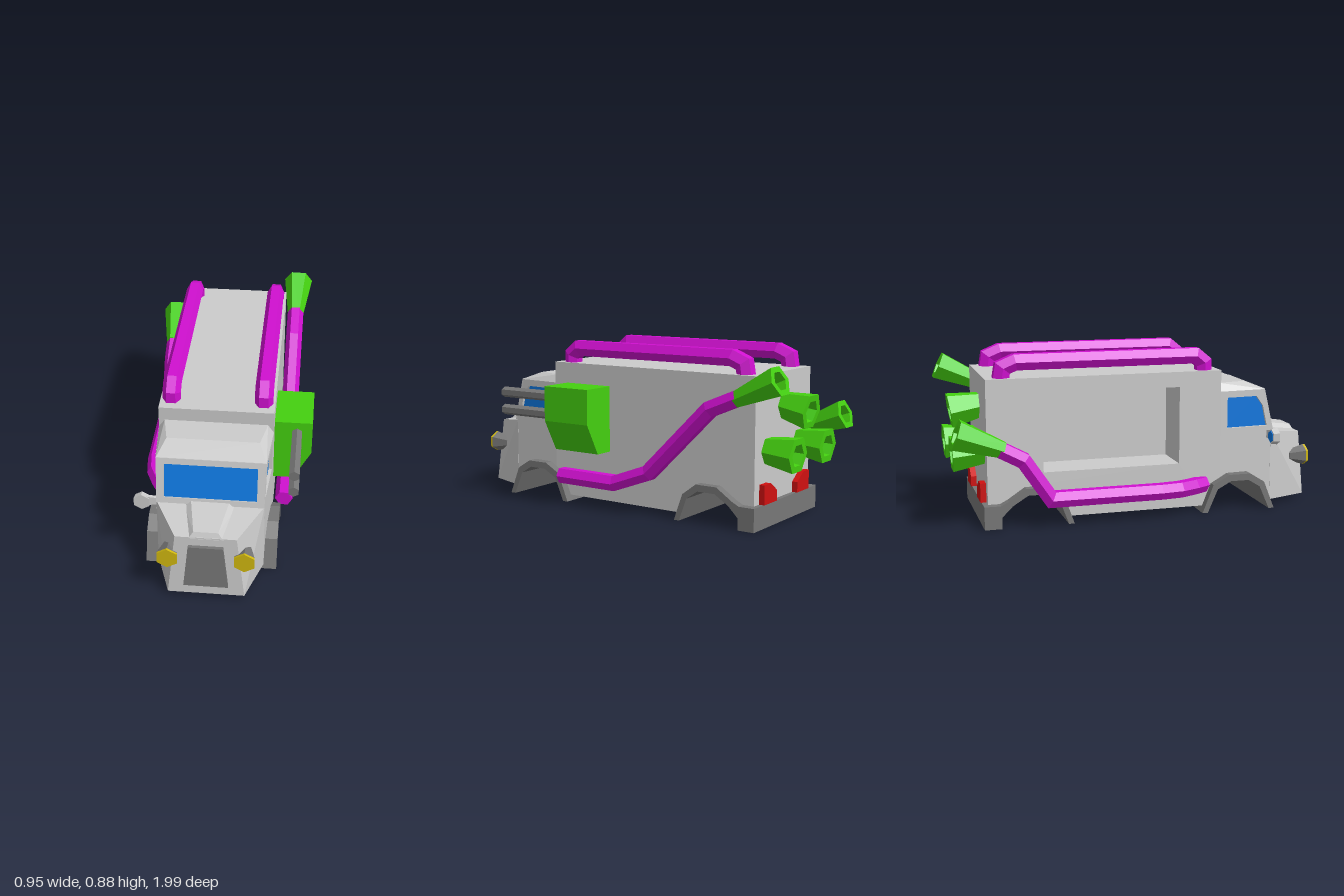
import * as THREE from 'three';
import { ConvexGeometry } from 'three/addons/geometries/ConvexGeometry.js';

const mat = (color) => new THREE.MeshStandardMaterial({ color, flatShading: true, side: THREE.DoubleSide });
const CX = -0.01; // centre line of the bodywork

export function createModel() {
  const root = new THREE.Group();
  const grey = mat(0xcccccc), dark = mat(0x777777), glass = mat(0x0e78e0), purple = mat(0xd010d0);
  const green = mat(0x44d010), yellow = mat(0xd0b810), red = mat(0xd01010), black = mat(0x111111);

  const add = (name, geo, material, parent = root) => {
    const m = new THREE.Mesh(geo, material);
    m.name = name;
    parent.add(m);
    return m;
  };
  const shape = (pts, hole) => {
    const s = new THREE.Shape(pts.map((p) => new THREE.Vector2(...p)));
    if (hole) s.holes.push(new THREE.Path(hole.map((p) => new THREE.Vector2(...p))));
    return s;
  };
  const extrude = (pts, depth, hole) =>
    new THREE.ExtrudeGeometry(shape(pts, hole), { depth, bevelEnabled: false });
  // side profile given as [z, y], extruded across x0..x1
  const slab = (pts, x0, x1, hole) => extrude(pts, x1 - x0, hole).rotateY(-Math.PI / 2).translate(x1, 0, 0);
  const hull = (pts) => new ConvexGeometry(pts.map((p) => new THREE.Vector3(...p)));
  const hexRod = (rFront, rBack, len) => new THREE.CylinderGeometry(rFront, rBack, len, 6).rotateX(Math.PI / 2);

  // ---- cargo body, with a recess in its right side
  const rearArch = [[-0.74, 0.12], [-0.7, 0.14], [-0.61, 0.2], [-0.49, 0.2], [-0.41, 0.14], [-0.37, 0.03]];
  const cargo = [[-0.8, 0.03], [-0.74, 0.03], ...rearArch, [0.355, 0.03], [0.4, 0.15], [0.45, 0.178],
    [0.45, 0.76], [-0.8, 0.76]];
  const recess = [[-0.51, 0.27], [0.22, 0.27], [0.22, 0.68], [-0.51, 0.68]];
  add('cargoBody', slab(cargo, -0.07, 0.28), grey);
  add('cargoRecessSide', slab(cargo, -0.3, -0.07, recess), grey);

  // ---- cab: narrows toward the front, windows sunk into the side skins
  const taper = (geo) => {
    const p = geo.attributes.position;
    for (let i = 0; i < p.count; i++) {
      const half = 0.29 - 0.02 * (p.getZ(i) - 0.45) / 0.27;
      p.setX(i, CX + (p.getX(i) - CX) * half / 0.29);
    }
    geo.computeVertexNormals();
    return geo;
  };
  const cab = [[0.45, 0.178], [0.49, 0.2], [0.61, 0.2], [0.69, 0.15], [0.738, 0.03], [0.753, 0.03],
    [0.753, 0.41], [0.698, 0.645], [0.45, 0.645]];
  const sideWindow = [[0.49, 0.445], [0.725, 0.445], [0.7, 0.555], [0.66, 0.61], [0.49, 0.61]];
  add('cabCore', taper(slab(cab, -0.278, 0.258)), grey);
  for (const s of [-1, 1]) {
    const span = (a, b) => (s > 0 ? [CX + a, CX + b] : [CX - b, CX - a]);
    add('cabSide', taper(slab(cab, ...span(0.268, 0.29), sideWindow)), grey);
    add('sideWindow', taper(slab(sideWindow, ...span(0.266, 0.273))), glass);
  }
  const both = (h, y, z) => [[CX - h, y, z], [CX + h, y, z]];
  add('cabRoof', hull([...both(0.29, 0.645, 0.45), ...both(0.27, 0.645, 0.71),
    ...both(0.26, 0.688, 0.45), ...both(0.23, 0.688, 0.6)]), grey);

  const screen = new THREE.Group();
  screen.name = 'windscreen';
  screen.position.set(CX, 0.41, 0.753);
  screen.rotation.x = -0.23;
  root.add(screen);
  const rect = (w, y0, y1) => [[-w, y0], [w, y0], [w, y1], [-w, y1]];
  add('windscreenFrame', extrude(rect(0.267, 0, 0.241), 0.013, rect(0.23, 0.03, 0.21)), grey, screen);
  add('windscreenGlass', extrude(rect(0.232, 0.028, 0.212), 0.004), glass, screen);

  // ---- nose, bonnet bulge and grille
  add('nose', hull([...both(0.27, 0.03, 0.75), ...both(0.268, 0.41, 0.75),
    ...both(0.19, 0.03, 0.985), ...both(0.15, 0.378, 0.968)]), grey);
  add('bonnetBulge', hull([...both(0.13, 0.4, 0.755), ...both(0.095, 0.43, 0.755),
    ...both(0.085, 0.37, 0.969), ...both(0.06, 0.403, 0.955)]), grey);
  const grille = add('grille', extrude([[-0.11, 0], [0.11, 0], [0.085, 0.24], [-0.085, 0.24]], 0.03), dark);
  grille.position.set(CX, 0.09, 0.97);
  grille.rotation.x = -0.045;

  // ---- headlights and tail lights
  for (const s of [-1, 1]) {
    const x = CX + s * 0.188;
    add('headlightShell', hexRod(0.057, 0.03, 0.09), dark).position.set(x, 0.253, 0.935);
    add('headlightLens', hexRod(0.057, 0.057, 0.012), yellow).position.set(x, 0.253, 0.986);
    const lamp = [[0.11, 0.12], [0.24, 0.12], [0.24, 0.22], [0.175, 0.22], [0.11, 0.175]];
    add('tailLight', extrude(lamp.map(([a, y]) => [CX + s * a, y]), 0.04), red).position.z = -0.83;
  }

  // ---- wheel arches run the full width, the rear one ends in the bumper
  add('frontArch', slab([[0.34, 0], [0.4, 0.15], [0.49, 0.2], [0.61, 0.2], [0.69, 0.15], [0.75, 0],
    [0.72, 0], [0.665, 0.125], [0.6, 0.165], [0.5, 0.165], [0.425, 0.125], [0.37, 0]], -0.345, 0.325), dark);
  add('rearArchAndBumper', slab([[-0.36, 0], [-0.41, 0.14], [-0.49, 0.2], [-0.61, 0.2], [-0.7, 0.14],
    [-0.74, 0.12], [-0.825, 0.12], [-0.825, 0], [-0.735, 0], [-0.735, 0.06], [-0.68, 0.115],
    [-0.6, 0.165], [-0.5, 0.165], [-0.435, 0.12], [-0.39, 0]], -0.345, 0.325), dark);

  // ---- wing mirror on the right side only
  add('mirrorArm', hull([[-0.26, 0.38, 0.74], [-0.26, 0.415, 0.74], [-0.33, 0.375, 0.735], [-0.33, 0.43, 0.735],
    [-0.26, 0.38, 0.72], [-0.26, 0.415, 0.72], [-0.33, 0.375, 0.75], [-0.33, 0.43, 0.75]]), grey);
  add('mirror', hexRod(0.045, 0.04, 0.035), grey).position.set(-0.352, 0.398, 0.738);
  add('mirrorGlass', hexRod(0.032, 0.032, 0.006), glass).position.set(-0.352, 0.398, 0.719);

  // ---- side gun box and twin barrels
  add('gunBox', extrude([[0.27, 0.3], [0.385, 0.3], [0.473, 0.465], [0.473, 0.65], [0.27, 0.65]], 0.285), green)
    .position.z = 0.08;
  for (const y of [0.49, 0.587]) add('gunBarrel', hexRod(0.029, 0.029, 0.38), dark).position.set(0.395, y, 0.53);

  // ---- hexagonal pipe swept along a path with mitred corners
  const pipe = (name, path, r) => {
    const pts = path.map((p) => new THREE.Vector3(...p));
    const pos = [], idx = [], last = pts.length - 1;
    pts.forEach((p, i) => {
      const d0 = pts[Math.max(i, 1)].clone().sub(pts[Math.max(i, 1) - 1]).normalize();
      const k = Math.min(i, last - 1);
      const d1 = pts[k + 1].clone().sub(pts[k]).normalize();
      const t = d0.clone().add(d1).normalize();
      const n = new THREE.Vector3(1, 0, 0).addScaledVector(t, -t.x).normalize();
      const b = t.clone().cross(n).multiplyScalar(1 / t.dot(d0));
      for (let j = 0; j < 6; j++) {
        const a = j * Math.PI / 3;
        pos.push(...p.clone().addScaledVector(n, r * Math.cos(a)).addScaledVector(b, r * Math.sin(a)).toArray());
        const q = i * 6 + j, q1 = i * 6 + (j + 1) % 6;
        if (i < last) idx.push(q, q1, q1 + 6, q, q1 + 6, q + 6);
      }
    });
    const e = last * 6;
    for (let j = 1; j < 5; j++) idx.push(0, j + 1, j, e, e + j, e + j + 1);
    const g = new THREE.BufferGeometry();
    g.setAttribute('position', new THREE.Float32BufferAttribute(pos, 3));
    g.setIndex(idx);
    const flat = g.toNonIndexed();
    flat.computeVertexNormals();
    return add(name, flat, purple);
  };
  for (const s of [-1, 1]) {
    const x = CX + s * 0.233;
    pipe('roofRail', [[x, 0.75, 0.365], [x, 0.8, 0.365], [x, 0.837, 0.32], [x, 0.837, -0.64],
      [x, 0.81, -0.705], [x, 0.75, -0.715]], 0.047);
  }
  pipe('leftPipe', [[0.34, 0.15, 0.365], [0.34, 0.15, 0], [0.34, 0.23, -0.215], [0.34, 0.59, -0.58],
    [0.34, 0.665, -0.76]], 0.046);
  pipe('rightPipe', [[-0.295, 0.15, 0.36], [-0.335, 0.15, 0.29], [-0.375, 0.15, 0.2], [-0.388, 0.15, 0.09],
    [-0.388, 0.15, -0.49], [-0.388, 0.36, -0.63], [-0.388, 0.43, -0.76]], 0.046);

  // ---- flared hollow exhausts, from a base point to a mouth point
  const exhaust = (from, to, r0, r1) => {
    const a = new THREE.Vector3(...from), dir = new THREE.Vector3(...to).sub(a), len = dir.length();
    const g = new THREE.Group();
    g.name = 'exhaust';
    const profile = [[0, 0], [r0, 0], [r1, len], [r1 * 0.62, len], [r1 * 0.55, len * 0.6]];
    add('exhaustHorn', new THREE.LatheGeometry(profile.map((p) => new THREE.Vector2(...p)), 6)
      .rotateY(Math.PI / 2), green, g);
    add('exhaustHole', new THREE.CircleGeometry(r1 * 0.57, 6).rotateX(-Math.PI / 2), black, g)
      .position.y = len * 0.68;
    g.position.copy(a);
    g.quaternion.setFromUnitVectors(new THREE.Vector3(0, 1, 0), dir.normalize());
    root.add(g);
  };
  exhaust([0.34, 0.65, -0.73], [0.345, 0.755, -0.965], 0.045, 0.081);
  exhaust([-0.388, 0.42, -0.73], [-0.39, 0.51, -0.965], 0.045, 0.084);
  exhaust([-0.185, 0.38, -0.79], [-0.185, 0.37, -0.965], 0.07, 0.097);
  exhaust([0.145, 0.38, -0.79], [0.145, 0.37, -0.965], 0.07, 0.097);
  exhaust([-0.02, 0.59, -0.79], [-0.02, 0.565, -0.95], 0.07, 0.097);

  return root;
}
